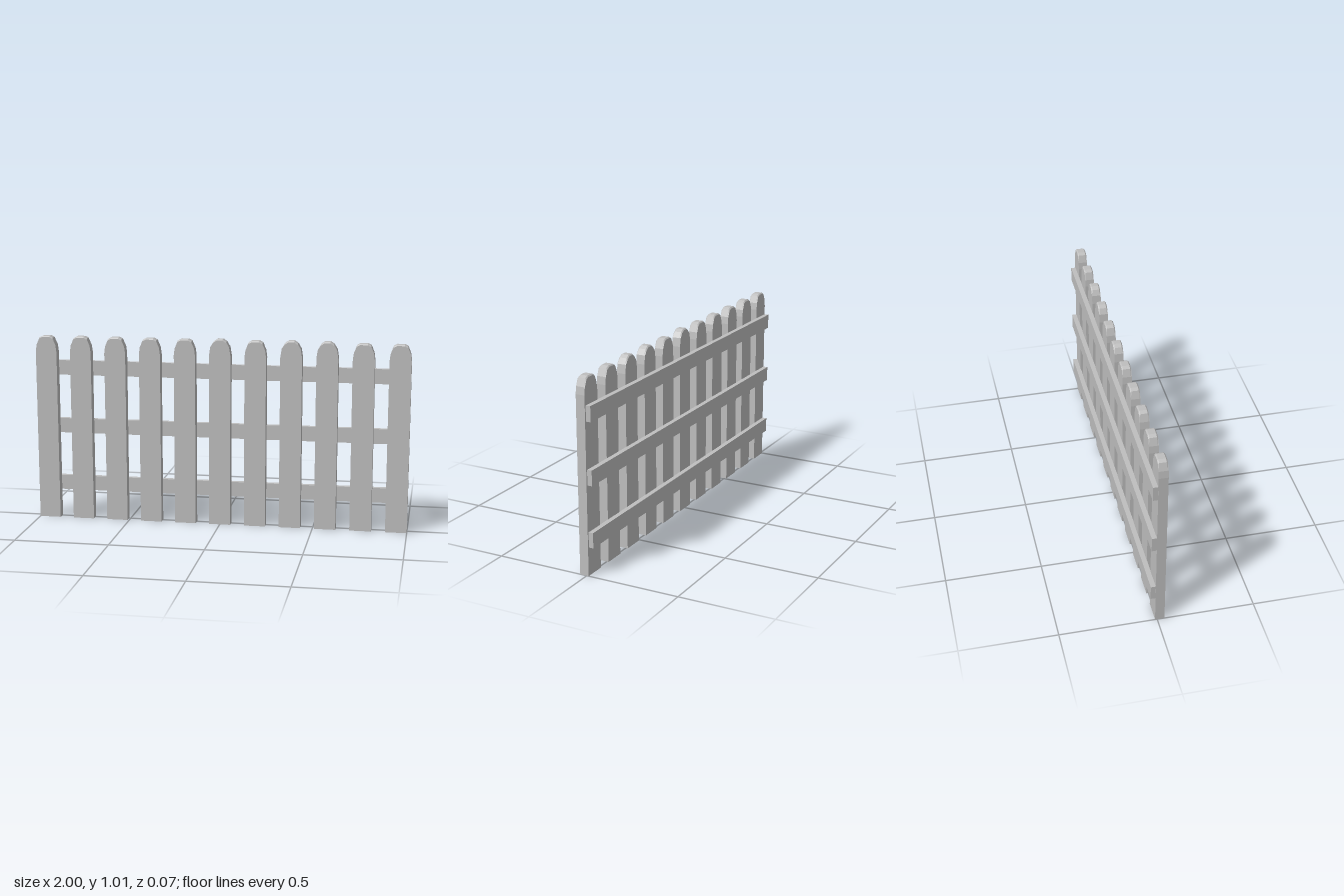
import * as THREE from 'three';

export function createModel() {
  const fence = new THREE.Group();
  fence.name = 'picketFence';
  const paint = new THREE.MeshStandardMaterial({ color: 0xbebebe });
  paint.name = 'grey wood';

  // Half outline of a picket's rounded top, from shoulder to crown
  const crown = [[0.057, 0.915], [0.052, 0.953], [0.037, 0.992], [0.02, 1.001]];
  const roundCrown = [[0.057, 0.92], [0.05, 0.965], [0.034, 0.993], [0.015, 1.006]];
  const back = -0.011, depth = 0.048;

  function picketGeometry(top) {
    const points = [
      [-0.057, 0], [0.057, 0], ...top,
      ...top.slice().reverse().map(([x, y]) => [-x, y]),
    ].map(([x, y]) => new THREE.Vector2(x, y));
    const geo = new THREE.ExtrudeGeometry(new THREE.Shape(points), {
      depth, steps: 8, bevelEnabled: false,
    });
    // Ease the front and back edges of the crown
    const pos = geo.attributes.position;
    for (let i = 0; i < pos.count; i++) {
      const z = pos.getZ(i);
      const atEnd = z < 0.001 || z > depth - 0.001;
      if (atEnd && pos.getY(i) > 0.98) pos.setY(i, pos.getY(i) - 0.006);
    }
    geo.computeVertexNormals();
    return geo.translate(0, 0, back);
  }

  // Eleven evenly spaced pickets, a few with a rounder crown
  const plain = picketGeometry(crown);
  const rounded = picketGeometry(roundCrown);
  for (let i = 0; i < 11; i++) {
    const picket = new THREE.Mesh([5, 7, 8].includes(i) ? rounded : plain, paint);
    picket.name = `picket${i + 1}`;
    picket.position.x = (i - 5) * 0.1886;
    fence.add(picket);
  }

  // Three rails fixed across the back
  const railGeometry = new THREE.BoxGeometry(1.99, 0.079, 0.026);
  ['lowerRail', 'middleRail', 'upperRail'].forEach((name, i) => {
    const rail = new THREE.Mesh(railGeometry, paint);
    rail.name = name;
    rail.position.set(-0.003, 0.187 + i * 0.319, -0.023);
    fence.add(rail);
  });
  return fence;
}
